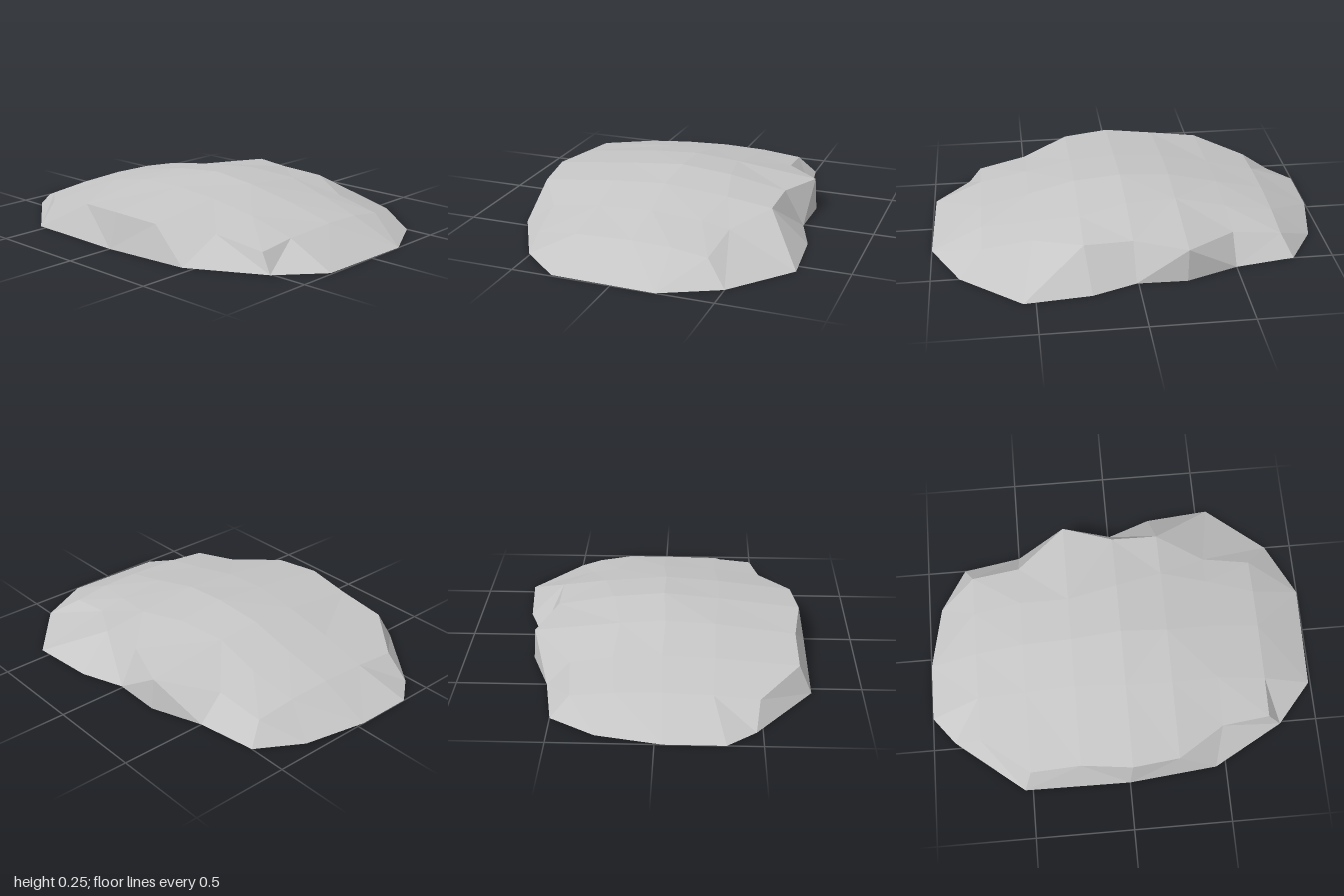
import * as THREE from 'three';

// Flat-shaded geometry from a list of triangles of [x, y, z] points
function facets(tris) {
  const g = new THREE.BufferGeometry();
  g.setAttribute('position', new THREE.Float32BufferAttribute(tris.flat(2), 3));
  g.computeVertexNormals();
  return g;
}

const dist = (a, b) => Math.hypot(a[0] - b[0], a[1] - b[1], a[2] - b[2]);

export function createModel() {
  const model = new THREE.Group();
  model.name = 'flatRock';
  const stone = new THREE.MeshStandardMaterial({ color: 0xc6c6c6, flatShading: true });
  stone.name = 'light grey stone';

  // Cross-sections of the crown, back to front: z, x positions, heights
  const sections = [
    [-0.75, [-0.49, -0.27, -0.03, 0.2, 0.41], [0.09, 0.11, 0.12, 0.115, 0.095]],
    [-0.5, [-0.69, -0.28, -0.02, 0.22, 0.43], [0.13, 0.165, 0.178, 0.165, 0.13]],
    [-0.245, [-0.685, -0.28, -0.03, 0.2, 0.633], [0.165, 0.215, 0.23, 0.213, 0.165]],
    [0.015, [-0.72, -0.3, -0.015, 0.25, 0.54], [0.18, 0.227, 0.253, 0.23, 0.18]],
    [0.255, [-0.69, -0.3, -0.02, 0.31, 0.54], [0.165, 0.21, 0.23, 0.203, 0.173]],
    [0.495, [-0.53, -0.28, 0, 0.26, 0.4], [0.13, 0.165, 0.178, 0.16, 0.135]],
    [0.745, [-0.49, -0.29, 0, 0.2, 0.38], [0.09, 0.11, 0.12, 0.115, 0.09]],
  ];
  const rows = sections.map(([z, xs, ys]) => xs.map((x, i) => [x, ys[i], z]));

  // Outline on the ground, starting at the back right corner
  const outline = [
    [-0.47, -0.89], [-0.33, -1], [-0.04, -1], [0.28, -0.935], [0.5, -0.8], [0.55, -0.5],
    [0.645, -0.24], [0.64, 0.01], [0.72, 0.23], [0.75, 0.56], [0.5, 0.86], [0.22, 1],
    [-0.3, 0.99], [-0.51, 0.81], [-0.71, 0.45], [-0.755, 0], [-0.75, -0.54],
  ].map(([x, z]) => [x, 0, z]);

  // Crown
  const crown = [];
  for (let r = 0; r < rows.length - 1; r++) {
    for (let c = 0; c < 4; c++) {
      const [a, b] = [rows[r][c], rows[r][c + 1]];
      const [d, e] = [rows[r + 1][c], rows[r + 1][c + 1]];
      if (dist(a, e) < dist(b, d)) crown.push([a, d, e], [a, e, b]);
      else crown.push([a, d, b], [b, d, e]);
    }
  }

  // Sides: stitch the rim of the crown to the outline, nearest points first
  const last = rows.length - 1;
  const inner = rows.slice(1, last);
  const rim = [
    ...rows[0], ...inner.map((r) => r[4]),
    ...[...rows[last]].reverse(), ...inner.map((r) => r[0]).reverse(),
  ];
  const sides = [];
  const n = rim.length, m = outline.length;
  let i = 0, j = 0;
  while (i < n || j < m) {
    const a = rim[i % n], a2 = rim[(i + 1) % n];
    const b = outline[j % m], b2 = outline[(j + 1) % m];
    if (j >= m || (i < n && dist(a2, b) < dist(a, b2))) {
      sides.push([a, a2, b]);
      i++;
    } else {
      sides.push([a, b2, b]);
      j++;
    }
  }

  // Underside
  const underside = outline.map((p, k) => [[0, 0, 0], p, outline[(k + 1) % m]]);

  for (const [name, tris] of Object.entries({ crown, sides, underside })) {
    const mesh = new THREE.Mesh(facets(tris), stone);
    mesh.name = name;
    model.add(mesh);
  }
  return model;
}
